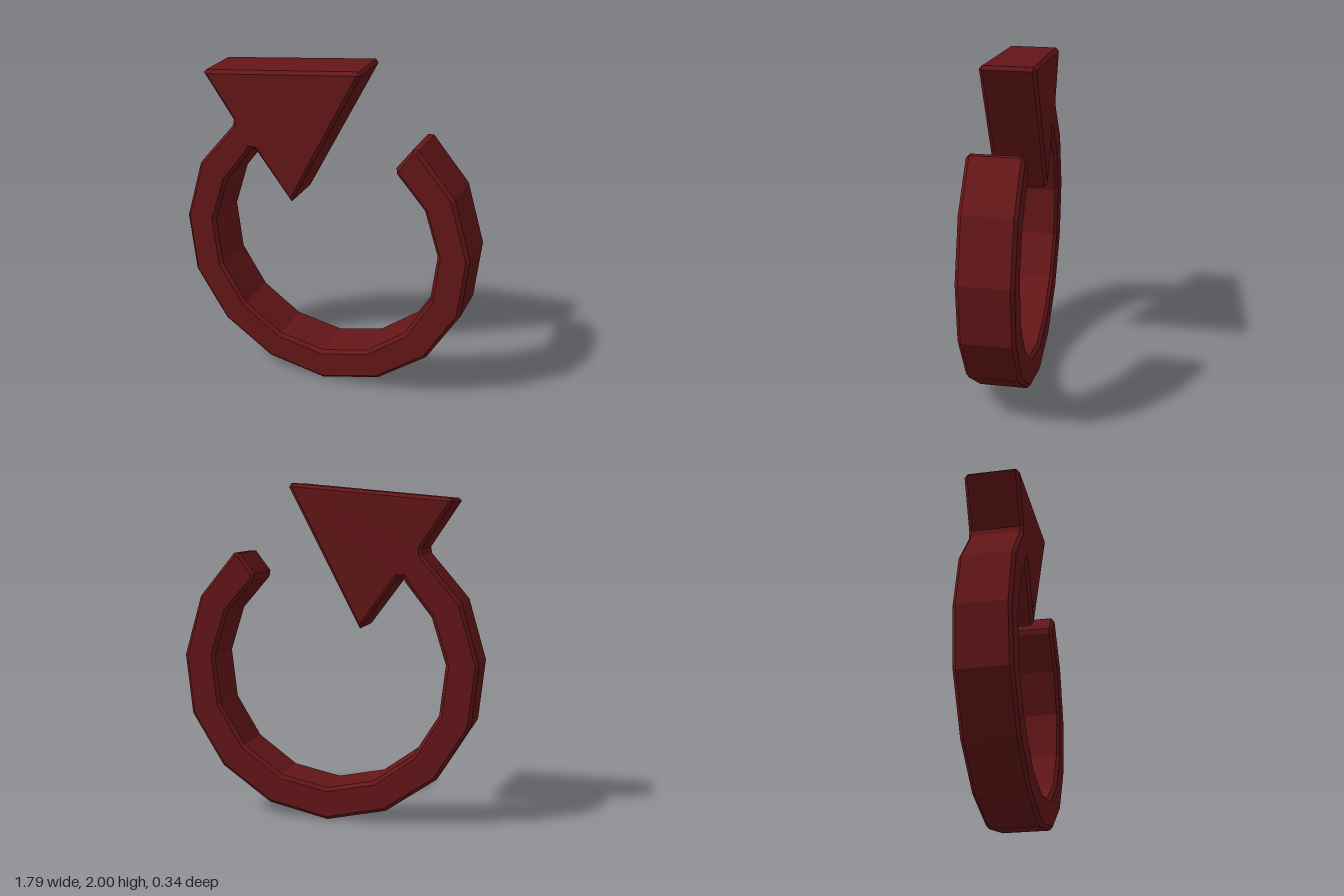
import * as THREE from 'three';

const BEVEL = 0.02;
const HALF_DEPTH = 0.162;

// Right half of the ring, from the bottom up to its open end
const outer = [[0.36, 0.085], [0.66, 0.295], [0.855, 0.61], [0.895, 0.97], [0.79, 1.33]];
const inner = [[0.285, 0.26], [0.52, 0.43], [0.67, 0.675], [0.705, 0.97], [0.62, 1.24]];
const mirror = (points) => points.map(([x, y]) => [-x, y]);

export function createModel() {
  const group = new THREE.Group();

  // Open end of the ring, with its corners cut
  const ringEnd = [[0.573, 1.592], [0.537, 1.592], [0.445, 1.472], [0.45, 1.436]];

  // Arrowhead, from the outer notch round to the inner notch
  const arrowhead = [
    [-0.565, 1.592], [-0.558, 1.63], [-0.735, 1.898], [-0.72, 1.915],
    [0.213, 2.0], [0.228, 1.978], [-0.2, 1.165],
    [-0.422, 1.465], [-0.452, 1.465], [-0.465, 1.438],
  ];

  const outline = [
    [0, 0.005], ...outer, ...ringEnd, ...inner.slice().reverse(), [0, 0.2],
    ...mirror(inner), ...arrowhead.slice().reverse(), ...mirror(outer).reverse(),
  ];

  const shape = new THREE.Shape(outline.map(([x, y]) => new THREE.Vector2(x, y)));
  const geometry = new THREE.ExtrudeGeometry(shape, {
    depth: 2 * (HALF_DEPTH - BEVEL),
    bevelEnabled: true,
    bevelThickness: BEVEL,
    bevelSize: BEVEL,
    bevelOffset: -BEVEL,
    bevelSegments: 1,
  });
  geometry.translate(0, 0, BEVEL - HALF_DEPTH);

  // The arrowhead leans slightly: left corner forward, lower tip back
  const pos = geometry.attributes.position;
  for (let i = 0; i < pos.count; i++) {
    const x = pos.getX(i), y = pos.getY(i);
    if (y > 1.75 && x < 0) pos.setZ(i, pos.getZ(i) + 0.008);
    if (x > -0.3 && x < -0.1 && y > 1.1) pos.setZ(i, pos.getZ(i) - 0.006);
  }
  geometry.computeVertexNormals();

  const material = new THREE.MeshStandardMaterial({ color: 0x641618, flatShading: true });
  const arrow = new THREE.Mesh(geometry, material);
  arrow.name = 'circularArrow';
  group.add(arrow);
  return group;
}
